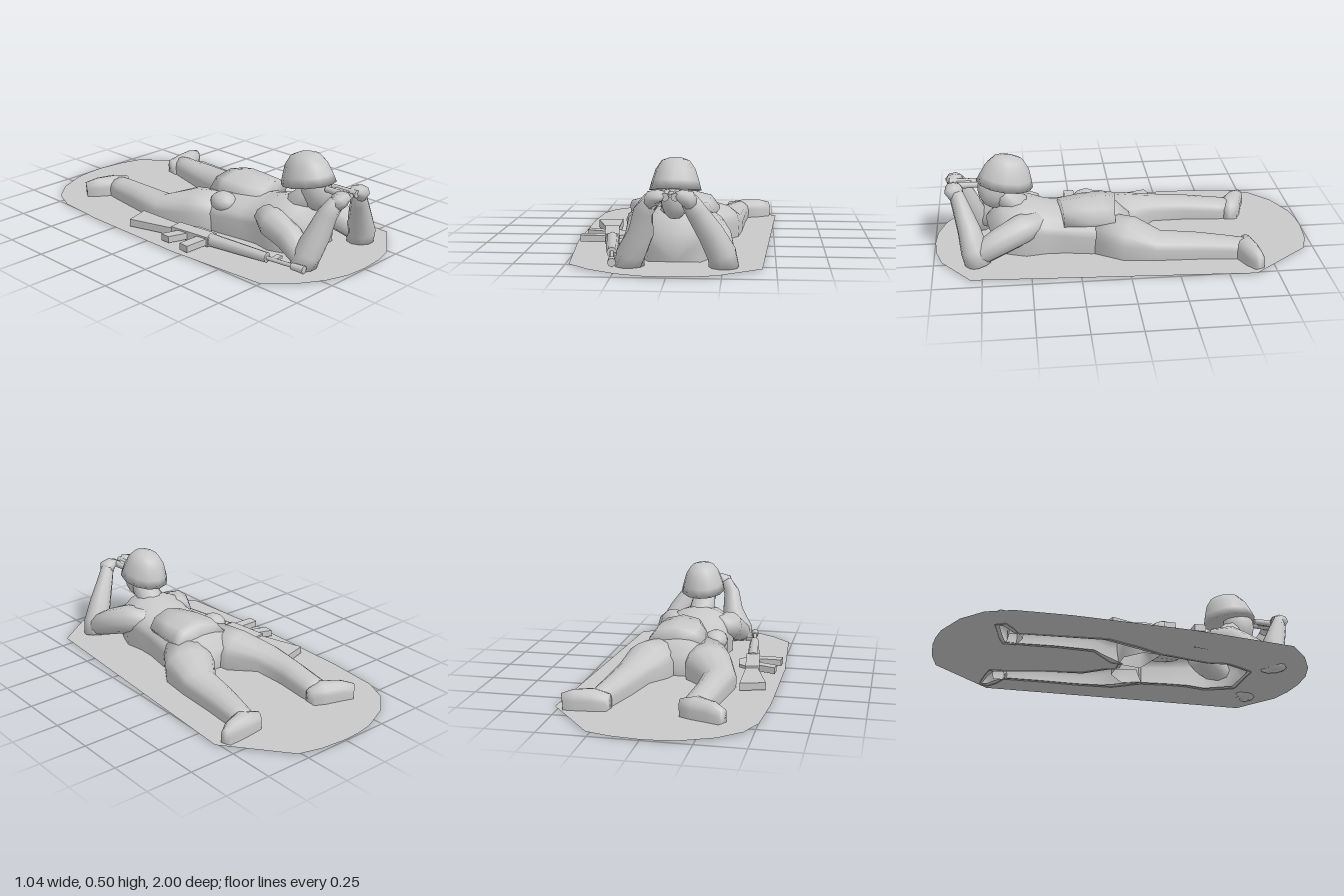
import * as THREE from 'three';

const grey = new THREE.MeshStandardMaterial({ color: 0xc8c8c8, side: THREE.DoubleSide });
grey.name = 'plain grey';

function add(parent, name, geometry, x = 0, y = 0, z = 0) {
  const mesh = new THREE.Mesh(geometry, grey);
  mesh.name = name;
  mesh.position.set(x, y, z);
  parent.add(mesh);
  return mesh;
}

// Smooth loft through rings [x, y, z, halfWidth, halfHeight].
// A grounded loft is an arch whose walls drop to the ground, open underneath.
function loft(rings, sides = 10, grounded = false) {
  const pos = [], index = [];
  const up = new THREE.Vector3(0, 1, 0);
  const centres = rings.map(r => new THREE.Vector3(r[0], r[1], r[2]));
  const put = p => pos.push(p.x, Math.max(p.y, 0), p.z);
  const last = rings.length - 1;
  const count = grounded ? sides + 3 : sides;
  rings.forEach((r, i) => {
    const t = centres[Math.min(i + 1, last)].clone().sub(centres[Math.max(i - 1, 0)]).normalize();
    const s = up.clone().cross(t).normalize();
    const u = t.clone().cross(s);
    const point = (a, b) => centres[i].clone().addScaledVector(s, a * r[3]).addScaledVector(u, b * r[4]);
    if (grounded) put(point(0.96, 0).setY(0));
    for (let j = 0; j < (grounded ? sides + 1 : sides); j++) {
      const a = (j / sides) * Math.PI * (grounded ? 1 : 2);
      put(point(Math.cos(a), Math.sin(a)));
    }
    if (grounded) put(point(-0.96, 0).setY(0));
  });
  const strips = grounded ? count - 1 : count;
  const end = rings.length * count;
  for (let j = 0; j < strips; j++) {
    const k = (j + 1) % count, e = last * count;
    for (let i = 0; i < last; i++) {
      const a = i * count + j, b = i * count + k;
      index.push(a, b, b + count, a, b + count, a + count);
    }
    index.push(end, k, j, end + 1, e + j, e + k);
  }
  for (const c of [centres[0], centres[last]]) put(grounded ? c.clone().setY(0) : c);
  const g = new THREE.BufferGeometry();
  g.setAttribute('position', new THREE.Float32BufferAttribute(pos, 3));
  g.setIndex(index);
  g.computeVertexNormals();
  return g;
}

// Flat outlines in x/z
const outline = points => points.map(p => new THREE.Vector2(p[0], p[1]));

function plate(points, thickness) {
  return new THREE.ExtrudeGeometry(new THREE.Shape(outline(points)), { depth: thickness, bevelEnabled: false })
    .rotateX(Math.PI / 2);
}

function ellipsoid(rx, ry, rz) {
  return new THREE.SphereGeometry(1, 12, 8).scale(rx, ry, rz);
}

function createRifle() {
  const rifle = new THREE.Group();
  rifle.name = 'rifle';
  rifle.position.set(-0.345, 0, 0.2);
  rifle.rotation.y = 0.125;
  const rod = (r1, r2, len) => new THREE.CylinderGeometry(r1, r2, len, 8).rotateX(Math.PI / 2);
  add(rifle, 'stock', plate([[-0.075, -0.4], [0.06, -0.42], [0.035, -0.13], [-0.025, -0.12]], 0.04), 0, 0.05, 0);
  add(rifle, 'receiver', new THREE.BoxGeometry(0.075, 0.05, 0.24), 0, 0.036, -0.03);
  add(rifle, 'handguard', rod(0.026, 0.035, 0.35), 0, 0.036, 0.255);
  add(rifle, 'barrel', rod(0.011, 0.011, 0.22), 0, 0.034, 0.53);
  add(rifle, 'muzzle', rod(0.021, 0.018, 0.07), 0, 0.032, 0.61);
  add(rifle, 'frontSight', new THREE.BoxGeometry(0.05, 0.014, 0.03), 0.025, 0.036, 0.47);
  add(rifle, 'magazine', plate([[-0.03, 0.02], [-0.03, 0.08], [-0.165, 0.06], [-0.155, 0.005]], 0.035), 0, 0.052, 0);
  add(rifle, 'grip', plate([[-0.03, -0.1], [-0.03, -0.04], [-0.13, -0.09], [-0.12, -0.145]], 0.035), 0, 0.052, 0);
  add(rifle, 'carryHandle', plate([[0.03, -0.12], [0.075, -0.07], [0.075, 0.03], [0.03, 0.07]], 0.018), 0, 0.047, 0);
  return rifle;
}

function createBase() {
  const base = new THREE.Shape(outline([
    [0, -1], [0.15, -0.985], [0.27, -0.95], [0.52, -0.64], [0.435, 0.81], [0.23, 0.96], [0.12, 0.99], [0, 1],
    [-0.12, 0.99], [-0.24, 0.95], [-0.37, 0.87], [-0.48, 0.76], [-0.525, 0.2], [-0.525, -0.4],
    [-0.505, -0.68], [-0.45, -0.81], [-0.34, -0.91], [-0.18, -0.98], [-0.09, -0.995],
  ]));
  // Opening under the hollow body
  base.holes.push(new THREE.Path(outline([
    [-0.1, 0.66], [-0.16, 0.52], [-0.145, 0.42], [-0.16, 0.3], [-0.185, 0.15], [-0.24, -0.03], [-0.29, -0.18],
    [-0.265, -0.39], [-0.245, -0.56], [-0.25, -0.63], [-0.315, -0.695], [-0.31, -0.715], [-0.2, -0.68],
    [-0.13, -0.655], [-0.13, -0.58], [-0.15, -0.4], [-0.155, -0.2], [-0.02, -0.01], [0.04, -0.01],
    [0.17, -0.18], [0.2, -0.38], [0.245, -0.55], [0.26, -0.64], [0.33, -0.66], [0.46, -0.675], [0.46, -0.655],
    [0.4, -0.62], [0.345, -0.57], [0.33, -0.38], [0.32, -0.17], [0.3, -0.03], [0.21, 0.12], [0.185, 0.3],
    [0.175, 0.42], [0.19, 0.52], [0.12, 0.66],
  ])));
  return new THREE.ShapeGeometry(base).rotateX(Math.PI / 2);
}

export function createModel() {
  const model = new THREE.Group();
  model.name = 'proneSoldier';
  add(model, 'base', createBase(), 0, 0.005, 0);

  // Trunk and neck
  add(model, 'torso', loft([
    [0.01, 0.07, -0.03, 0.13, 0.06], [0.01, 0.09, 0.05, 0.22, 0.105], [0.01, 0.1, 0.18, 0.215, 0.11],
    [0.01, 0.105, 0.32, 0.19, 0.1], [0.015, 0.115, 0.42, 0.182, 0.11], [0.015, 0.13, 0.52, 0.2, 0.13],
    [0.015, 0.125, 0.6, 0.17, 0.125], [0.015, 0.08, 0.68, 0.13, 0.085],
  ], 9, true));
  add(model, 'neck', loft([[0.015, 0.19, 0.53, 0.08, 0.07], [0.015, 0.29, 0.64, 0.065, 0.06]]));

  // Soft back pouch and hip canteen
  add(model, 'backPouch', loft([
    [0.06, 0.18, 0.04, 0.15, 0.078], [0.055, 0.18, 0.1, 0.16, 0.088],
    [0.06, 0.18, 0.2, 0.155, 0.083], [0.075, 0.18, 0.33, 0.125, 0.075],
  ], 8));
  add(model, 'canteen', ellipsoid(0.065, 0.055, 0.075), -0.14, 0.16, 0.18);

  // Legs with feet turned outwards
  add(model, 'leftLeg', loft([
    [0.12, 0.09, 0.12, 0.11, 0.1], [0.19, 0.085, -0.03, 0.135, 0.095], [0.24, 0.06, -0.17, 0.095, 0.063],
    [0.265, 0.055, -0.38, 0.078, 0.06], [0.295, 0.05, -0.55, 0.062, 0.052], [0.315, 0.05, -0.64, 0.055, 0.045],
  ], 6, true));
  add(model, 'leftBoot', loft([
    [0.245, 0.045, -0.635, 0.035, 0.042], [0.33, 0.052, -0.62, 0.062, 0.052],
    [0.42, 0.05, -0.645, 0.045, 0.052], [0.475, 0.045, -0.665, 0.026, 0.04],
  ], 6, true));
  add(model, 'rightLeg', loft([
    [-0.1, 0.09, 0.12, 0.11, 0.1], [-0.14, 0.085, -0.03, 0.13, 0.09], [-0.225, 0.06, -0.18, 0.09, 0.063],
    [-0.21, 0.055, -0.39, 0.072, 0.06], [-0.19, 0.05, -0.56, 0.07, 0.052], [-0.185, 0.05, -0.65, 0.06, 0.045],
  ], 6, true));
  add(model, 'rightBoot', loft([
    [-0.115, 0.045, -0.63, 0.035, 0.042], [-0.19, 0.052, -0.635, 0.062, 0.052],
    [-0.28, 0.05, -0.68, 0.045, 0.05], [-0.335, 0.04, -0.715, 0.03, 0.04],
  ], 6, true));

  // Arms propped on the elbows; the right one stands a little closer in
  for (const [side, s, spread] of [['left', 1, 0.265], ['right', -1, 0.2]]) {
    const cx = 0.012;
    add(model, side + 'UpperArm', loft([
      [s * 0.11, 0.16, 0.46, 0.07, 0.06], [s * 0.165 + cx, 0.15, 0.54, 0.08, 0.08],
      [s * (spread - 0.04), 0.11, 0.65, 0.07, 0.075], [s * (spread - 0.01), 0.05, 0.77, 0.058, 0.06],
    ]));
    add(model, side + 'Forearm', loft([
      [s * (spread - 0.01), 0, 0.77, 0.072, 0.07], [s * (spread - 0.02), 0.07, 0.785, 0.072, 0.07],
      [s * (spread - 0.07), 0.17, 0.81, 0.06, 0.062], [s * (0.07 + spread * 0.22), 0.28, 0.85, 0.043, 0.05],
      [s * 0.085 + cx, 0.335, 0.87, 0.035, 0.042],
    ]));
    add(model, side + 'Hand', loft([
      [s * 0.095 + cx, 0.315, 0.865, 0.035, 0.04], [s * 0.08 + cx, 0.343, 0.88, 0.05, 0.04],
      [s * 0.05 + cx, 0.355, 0.88, 0.045, 0.03], [s * 0.025 + cx, 0.355, 0.87, 0.024, 0.018],
    ], 8));
    add(model, side + 'BinocularTube',
      new THREE.CylinderGeometry(0.02, 0.016, 0.15, 8).rotateX(Math.PI / 2), s * 0.024 + cx, 0.352, 0.83);
  }
  add(model, 'binocularBridge', new THREE.BoxGeometry(0.04, 0.016, 0.08), 0.012, 0.354, 0.83);

  // Head and helmet tilted back
  add(model, 'head', ellipsoid(0.07, 0.105, 0.09), 0.017, 0.315, 0.67);
  const dome = [[0, 0.012], [0.15, 0], [0.136, 0.045], [0.115, 0.1], [0.08, 0.143], [0.035, 0.157], [0, 0.159]];
  const helmet = add(model, 'helmet',
    new THREE.LatheGeometry(dome.map(q => new THREE.Vector2(q[0], q[1])), 12), 0.016, 0.342, 0.617);
  helmet.scale.x = 0.84;
  helmet.rotation.x = -0.18;

  model.add(createRifle());
  return model;
}
